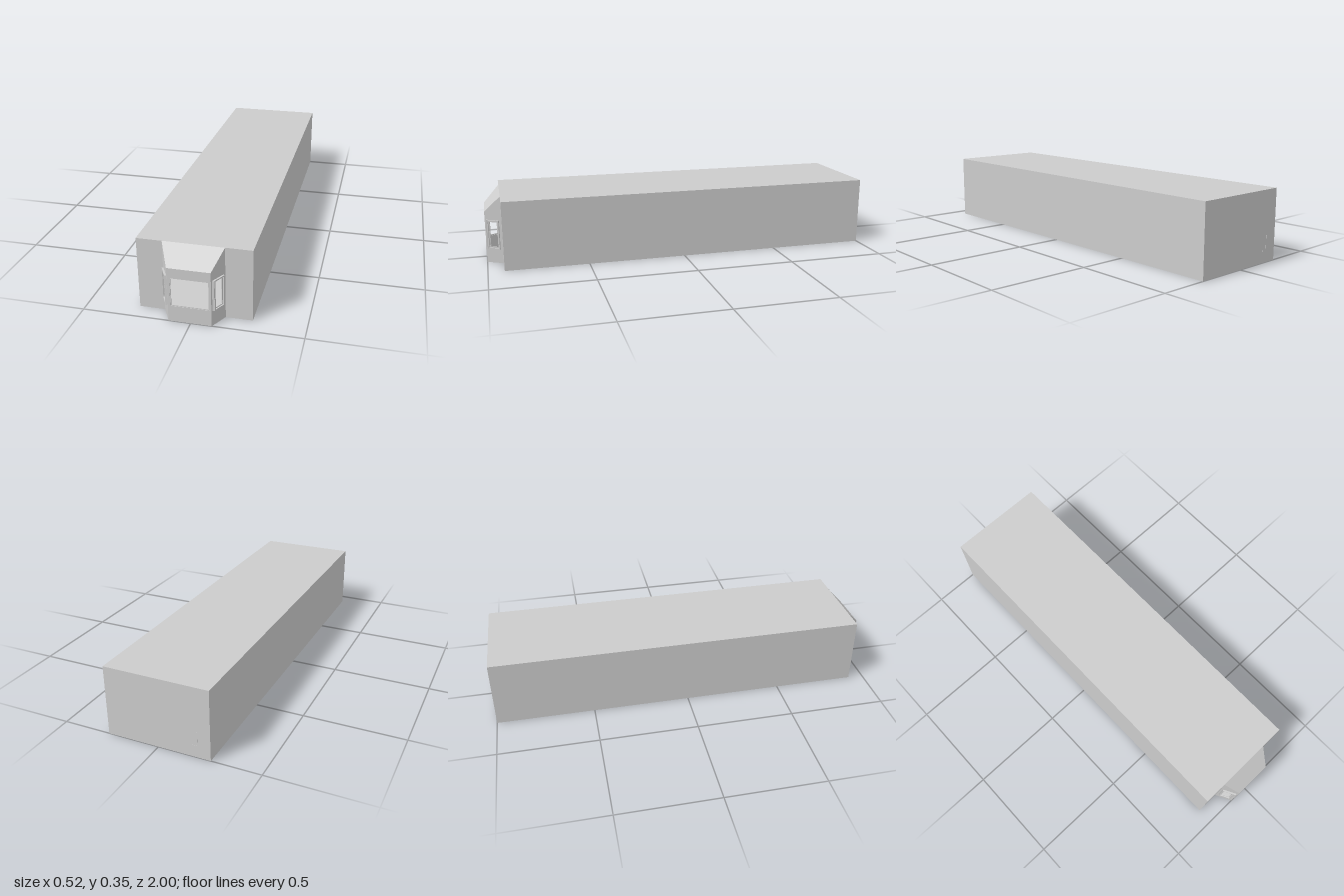
import * as THREE from 'three';

const material = (color, side = THREE.FrontSide) =>
  new THREE.MeshStandardMaterial({ color, side, flatShading: true });
const grey = material(0xcccccc);
const sheet = material(0xcccccc, THREE.DoubleSide);
const paleBlue = material(0xcfe3e3);
const sage = material(0x7f9c92);
const teal = material(0x6fb5a5);

const rect = (x0, y0, x1, y1, Type = THREE.Shape) => {
  const s = new Type();
  s.moveTo(x0, y0).lineTo(x1, y0).lineTo(x1, y1).lineTo(x0, y1).closePath();
  return s;
};

export function createModel() {
  const root = new THREE.Group();
  const W = 0.26, H = 0.348, BACK = -1, WALL = 0.92, NOSE = 1;
  const SILL = 0.075, HEAD = 0.222, EAVE = 0.265;

  const add = (name, geometry, mat, parent = root) => {
    const mesh = new THREE.Mesh(geometry, mat);
    mesh.name = name;
    parent.add(mesh);
    return mesh;
  };
  const box = (name, x0, x1, y0, y1, z0, z1, mat = grey, parent = root) => {
    const m = add(name, new THREE.BoxGeometry(x1 - x0, y1 - y0, z1 - z0), mat, parent);
    m.position.set((x0 + x1) / 2, (y0 + y1) / 2, (z0 + z1) / 2);
    return m;
  };
  // Flat four-cornered sheet, corners counter-clockwise from outside
  const quad = (name, ...p) => {
    const g = new THREE.BufferGeometry();
    g.setAttribute('position', new THREE.Float32BufferAttribute(p.flat(), 3));
    g.setIndex([0, 1, 2, 0, 2, 3]);
    g.computeVertexNormals();
    return add(name, g, sheet);
  };
  const frame = (name, x0, y0, x1, y1, t, z0, depth, parent) => {
    const s = rect(x0, y0, x1, y1);
    s.holes.push(rect(x0 + t, y0 + t, x1 - t, y1 - t, THREE.Path));
    const g = new THREE.ExtrudeGeometry(s, { depth, bevelEnabled: false });
    add(name, g, grey, parent).position.z = z0;
  };

  // Main shell
  quad('roof', [-W, H, WALL], [W, H, WALL], [W, H, BACK], [-W, H, BACK]);
  quad('floor', [-W, 0, BACK], [W, 0, BACK], [W, 0, WALL], [-W, 0, WALL]);
  quad('backWall', [W, 0, BACK], [-W, 0, BACK], [-W, H, BACK], [W, H, BACK]);
  quad('leftWall', [W, 0, WALL], [W, 0, BACK], [W, H, BACK], [W, H, WALL]);
  quad('rightWall', [-W, 0, BACK], [-W, 0, WALL], [-W, H, WALL], [-W, H, BACK]);

  // Front wall either side of the bay
  const A = -0.142, B = -0.1, C = 0.095, D = 0.138;
  quad('frontWallRight', [-W, 0, WALL], [A, 0, WALL], [A, H, WALL], [-W, H, WALL]);
  quad('frontWallLeft', [D, 0, WALL], [W, 0, WALL], [W, H, WALL], [D, H, WALL]);

  // Bay floor and sloping roof
  quad('bayFloor', [A, 0, WALL], [D, 0, WALL], [C, 0, NOSE], [B, 0, NOSE]);
  quad('bayRoof', [B, EAVE, NOSE], [C, EAVE, NOSE], [D, H, WALL], [A, H, WALL]);

  // Bay panel from one plan point to another, with a framed opening
  const bayPanel = (name, ax, az, bx, bz, ha, hb, u0, u1) => {
    const panel = new THREE.Group();
    panel.name = name;
    panel.position.set(ax, 0, az);
    panel.rotation.y = Math.atan2(az - bz, bx - ax);
    root.add(panel);
    const len = Math.hypot(bx - ax, bz - az);
    const s = new THREE.Shape();
    s.moveTo(0, 0).lineTo(len, 0).lineTo(len, hb).lineTo(0, ha).closePath();
    s.holes.push(rect(u0, SILL, u1, HEAD, THREE.Path));
    add(name + 'Sheet', new THREE.ShapeGeometry(s), sheet, panel);
    return panel;
  };
  const front = bayPanel('bayFront', B, NOSE, C, NOSE, EAVE, EAVE, 0.008, 0.19);
  frame('frontWindowFrame', 0.008, SILL, 0.19, HEAD, 0.003, -0.008, 0.008, front);
  frame('frontWindowSash', 0.011, SILL + 0.003, 0.187, HEAD - 0.003, 0.004, -0.006, 0.004, front);

  const sides = [
    ['bayRight', A, WALL, B, NOSE, H, EAVE, 0.016, 0.074],
    ['bayLeft', C, NOSE, D, WALL, EAVE, H, 0.017, 0.075],
  ];
  for (const args of sides) {
    const [u0, u1] = args.slice(-2);
    const panel = bayPanel(...args);
    frame('sideWindowFrame', u0 - 0.003, SILL - 0.002, u1 + 0.003, HEAD + 0.002, 0.006, -0.006, 0.014, panel);
    frame('sideWindowSash', u0 + 0.003, SILL + 0.004, u1 - 0.003, HEAD - 0.004, 0.005, -0.003, 0.005, panel);
  }

  // Upright trims beside the front window
  box('cornerTrimRight', -0.113, -0.097, SILL, HEAD + 0.002, 0.976, 0.994);
  box('cornerTrimLeft', 0.091, 0.107, SILL, HEAD + 0.002, 0.976, 0.994);

  // Partition behind the kitchen
  const P = 0.2;
  quad('partition', [-W, 0, P], [W, 0, P], [W, H, P], [-W, H, P]);

  // Refrigerator with two doors and handles
  const fridge = new THREE.Group();
  fridge.name = 'refrigerator';
  root.add(fridge);
  box('body', -0.049, 0.019, 0, 0.147, P, P + 0.06, paleBlue, fridge);
  box('lowerDoor', -0.05, 0.02, 0.004, 0.101, P + 0.06, P + 0.067, paleBlue, fridge);
  box('upperDoor', -0.05, 0.02, 0.103, 0.148, P + 0.06, P + 0.067, paleBlue, fridge);
  box('upperHandle', 0.013, 0.015, 0.108, 0.138, P + 0.067, P + 0.071, grey, fridge);
  box('lowerHandle', 0.013, 0.015, 0.06, 0.097, P + 0.067, P + 0.071, grey, fridge);

  // Wall cupboards
  const cupboard = (name, x0, x1, y0, y1, depth, mat) => {
    box(name, x0, x1, y0, y1, P, P + depth, mat);
    const f = 0.009;
    box(name + 'Door', x0 + f, x1 - f, y0 + f, y1 - f, P + depth, P + depth + 0.003, mat);
  };
  cupboard('tallCupboard', 0.02, 0.063, 0.13, 0.185, 0.04, sage);
  cupboard('shortCupboard', 0.063, 0.14, 0.152, 0.185, 0.036, teal);

  // Small fitting showing through the back wall
  box('backPipe', -0.2, -0.193, 0.05, 0.13, BACK - 0.001, BACK + 0.01);
  box('backBracket', -0.203, -0.17, 0.045, 0.06, BACK - 0.001, BACK + 0.01);

  return root;
}
